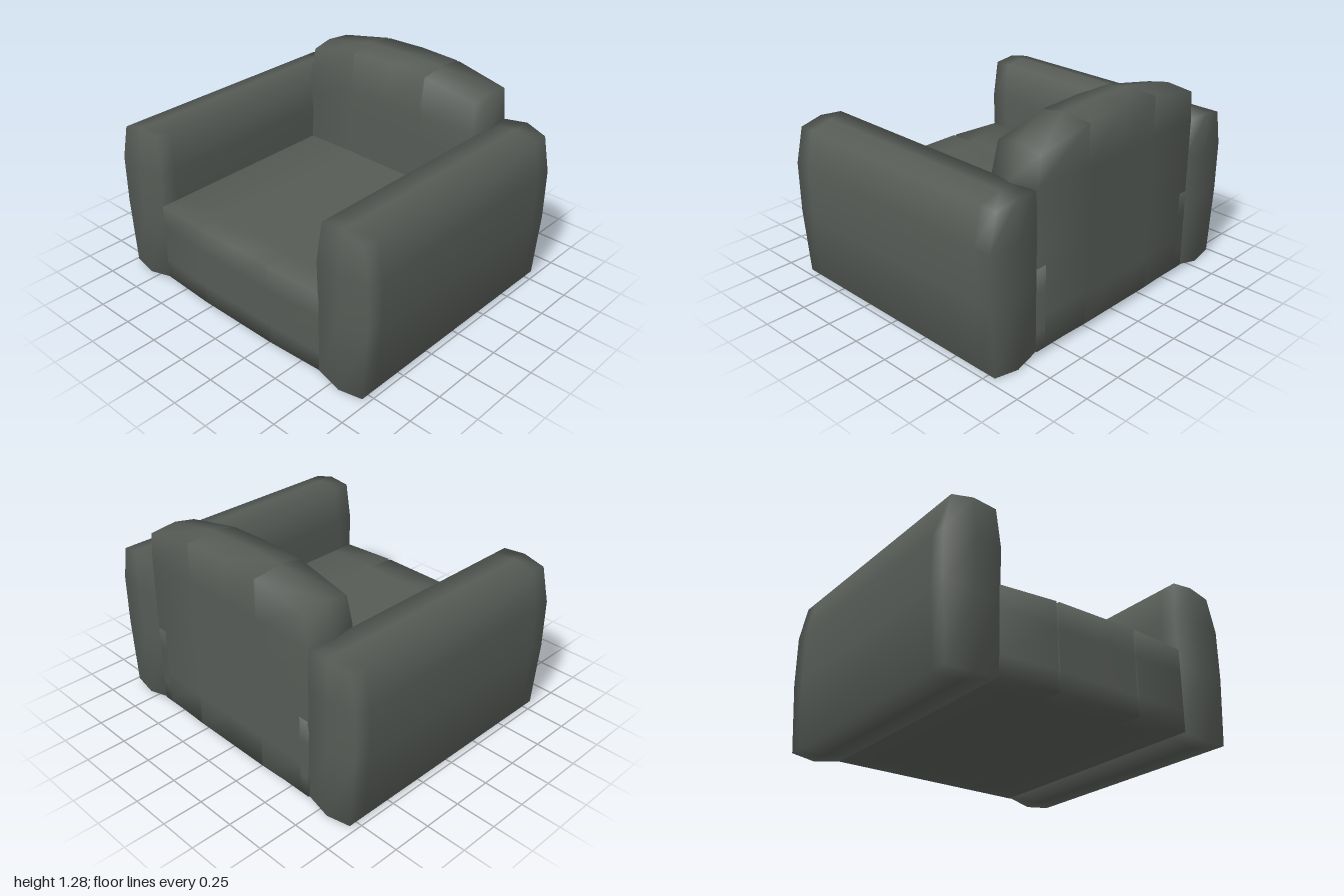
import * as THREE from 'three';
import { mergeVertices } from 'three/addons/utils/BufferGeometryUtils.js';

const fabric = new THREE.MeshStandardMaterial({ color: 0x565b56 });

// Box with its grid lines at the given coordinates, bent by a rule and shaded smoothly.
function cushion(name, xs, ys, zs, bend) {
  const axes = [xs, ys, zs];
  const [nx, ny, nz] = axes.map((a) => a.length - 1);
  let geo = new THREE.BoxGeometry(1, 1, 1, nx, ny, nz);
  geo.deleteAttribute('normal');
  geo.deleteAttribute('uv');
  geo = mergeVertices(geo, 1e-4);
  const pos = geo.attributes.position;
  const p = new THREE.Vector3();
  for (let i = 0; i < pos.count; i++) {
    p.fromBufferAttribute(pos, i);
    const grid = p.toArray().map((v, k) => Math.round((v + 0.5) * (axes[k].length - 1)));
    p.set(xs[grid[0]], ys[grid[1]], zs[grid[2]]);
    bend(p);
    pos.setXYZ(i, p.x, p.y, p.z);
  }
  geo.computeVertexNormals();
  const mesh = new THREE.Mesh(geo, fabric);
  mesh.name = name;
  return mesh;
}

// Seam positions shared by the seat and the backrest.
const SEAM = 0.28;
const seamLines = [-0.66, -SEAM - 0.008, -SEAM, -SEAM + 0.008, 0, SEAM - 0.008, SEAM, SEAM + 0.008, 0.66];
const onSeam = (x) => Math.abs(Math.abs(x) - SEAM) < 0.001;
// Drop from the flat middle to the edge: 0 at the centre, 1 at the sides.
const sideFall = (x) => Math.max(0, (Math.abs(x) - SEAM) / (0.66 - SEAM));

// Padded arm: swollen sides, crowned top and slightly domed ends.
function arm(side) {
  const outer = [0.97, 1.0, 1.0, 0.955];
  const inner = [0.65, 0.65, 0.642, 0.67];
  const ys = [0, 0.45, 0.76, 1];
  const mesh = cushion(side > 0 ? 'leftArm' : 'rightArm', [-1, 0, 1], ys, [-0.83, -0.7, 0.7, 0.83], (p) => {
    const row = ys.indexOf(p.y);
    const across = p.x * side; // -1 inner, 0 middle, 1 outer
    if (Math.abs(p.z) > 0.8) {
      if (across !== 0) p.z -= Math.sign(p.z) * 0.02;
      if (row === 3 && p.z > 0) p.z -= across === 0 ? 0.03 : 0.01;
    }
    if (row === 0) p.y = across === 0 ? 0.005 : across > 0 ? 0.02 : 0.035;
    if (row === 3) p.y = across === 0 ? 1.015 : across > 0 ? 0.98 : 1.0;
    p.x = side * (across === 0 ? 0.815 : across > 0 ? outer[row] : inner[row]);
  });
  return mesh;
}

export function createModel() {
  const group = new THREE.Group();
  group.name = 'armchair';

  group.add(arm(1), arm(-1));

  // Seat with two seams running over its front edge
  group.add(cushion('seat', seamLines, [0.035, 0.16, 0.4, 0.56], [-0.82, -0.6, 0.24, 0.27, 0.65, 0.828], (p) => {
    const top = p.y > 0.5;
    const front = p.z > 0.8;
    const groove = onSeam(p.x) && p.z > 0.25 && p.y > 0.3;
    if (front) p.z -= 0.018 * sideFall(p.x) + (groove ? 0.014 : 0);
    if (top) p.y -= 0.013 * sideFall(p.x) + (groove ? 0.014 : 0);
  }));

  // Backrest reaching down to the base, with an arched, rolled top
  group.add(cushion('backrest', seamLines, [0.04, 0.25, 0.62, 0.85, 1.01, 1.29], [-0.83, -0.65, -0.475], (p) => {
    const top = p.y > 1.2;
    const front = p.z > -0.5;
    const middle = Math.abs(p.z + 0.65) < 0.01;
    const groove = onSeam(p.x) && p.y > 0.6;
    const edge = Math.abs(p.x) > 0.65;
    if (top) {
      p.y -= 0.01 * Math.min(1, Math.abs(p.x) / SEAM) + 0.07 * sideFall(p.x);
      if (front) { p.y -= 0.028; p.z -= 0.025; }
      else if (!middle) p.y -= 0.018;
      if (groove) p.y -= 0.01;
      if (edge) p.x = Math.sign(p.x) * 0.64;
    } else if (edge && middle && p.y > 0.8) {
      p.x = Math.sign(p.x) * 0.697;
    }
    if (front) p.z -= 0.015 * sideFall(p.x) + (groove ? 0.01 : 0);
    else if (!middle) p.z += 0.012 * sideFall(p.x);
  }));

  return group;
}
